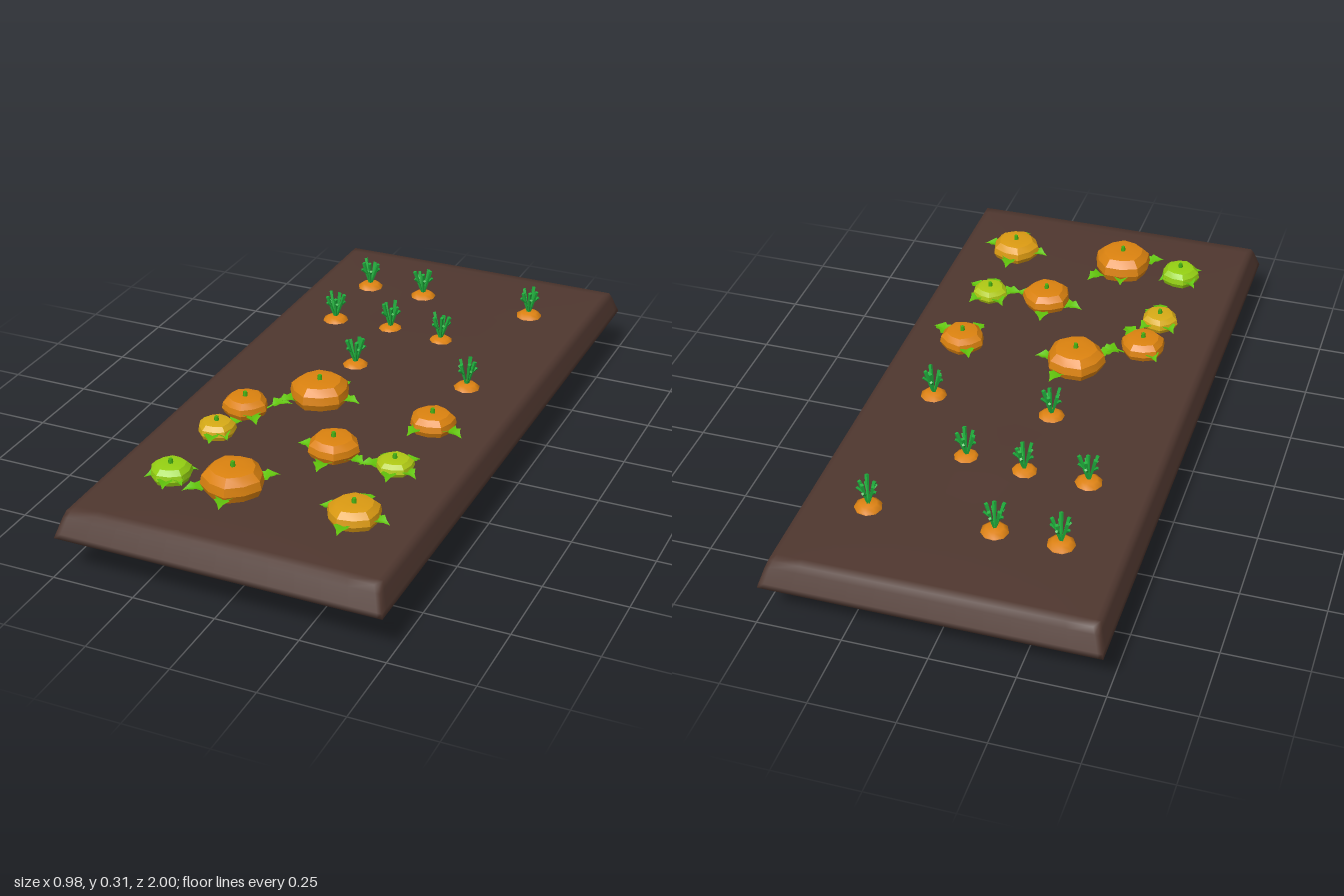
import * as THREE from 'three';
import { mergeVertices, mergeGeometries, toCreasedNormals } from 'three/addons/utils/BufferGeometryUtils.js';

const mat = (name, color, side = THREE.FrontSide) => {
  const m = new THREE.MeshStandardMaterial({ color, side });
  m.name = name;
  return m;
};
const soil = mat('soil brown', 0x4f372f);
const orange = mat('pumpkin orange', 0xdb820f);
const amber = mat('amber', 0xdb9a12);
const gold = mat('gold', 0xd6aa16);
const lime = mat('yellow lime', 0xafc814);
const green = mat('unripe green', 0x94cf12);
const carrotOrange = mat('carrot orange', 0xdd8212);
const leafGreen = mat('leaf green', 0x62c60c, THREE.DoubleSide);
const topGreen = mat('carrot top green', 0x1fae3c);
const stemGreen = mat('stem green', 0x45b012);

// gently domed height of the soil surface
const ground = (x, z) => {
  const edge = Math.max(0, (1 - (x / 0.465) ** 2) * (1 - (z / 0.97) ** 2));
  return 0.205 + 0.012 * Math.sqrt(edge) + 0.005 * Math.exp(-((z + 0.38) ** 2 + x * x) / 0.02);
};

function add(parent, name, geometry, material) {
  const mesh = new THREE.Mesh(geometry, material);
  mesh.name = name;
  parent.add(mesh);
  return mesh;
}

// bed of soil: box with sloped sides, a narrow rim and a domed top
function soilBed() {
  const nx = 14, nz = 26;
  const g = new THREE.BoxGeometry(2, 1, 2, nx, 3, nz);
  const p = g.attributes.position;
  // first and last grid lines sit close to the edge
  const spread = (t, n) => {
    const i = Math.round((t + 1) * n / 2);
    if (i === 0 || i === n) return Math.sign(t);
    return ((i - 1) / (n - 2) * 2 - 1) * 0.97;
  };
  const rows = [[0.13, 0], [0.143, 0.004], [0.188, 0.018], [0.205, 0.025]];
  for (let i = 0; i < p.count; i++) {
    const row = Math.round((p.getY(i) + 0.5) * 3);
    const [y, inset] = rows[row];
    const x = spread(p.getX(i), nx) * (0.488 - inset);
    const z = spread(p.getZ(i), nz) * (1 - inset * 1.4);
    p.setXYZ(i, x, row === 3 ? ground(x, z) : y, z);
  }
  g.deleteAttribute('uv');
  g.deleteAttribute('normal');
  const merged = mergeVertices(g, 1e-5);
  merged.computeVertexNormals();
  return merged;
}

// squat ribbed fruit of radius 1 and height 1
function fruitGeometry() {
  const profile = [[0, 0.02], [0.55, 0], [0.88, 0.17], [1, 0.42], [0.95, 0.7], [0.72, 0.93], [0.35, 1], [0, 0.94]]
    .map(([x, y]) => new THREE.Vector2(x, y));
  const g = new THREE.LatheGeometry(profile, 10);
  const p = g.attributes.position;
  for (let i = 0; i < p.count; i++) {
    const a = Math.atan2(p.getX(i), p.getZ(i));
    const k = 0.97 + 0.035 * Math.cos(a * 5);
    p.setXYZ(i, p.getX(i) * k, p.getY(i), p.getZ(i) * k);
  }
  g.deleteAttribute('uv');
  g.deleteAttribute('normal');
  return toCreasedNormals(mergeVertices(g, 1e-4), 0.55);
}

// jagged leaf along +z, length 1, folded up along its centre line
function leafGeometry() {
  const half = [[0.05, 0], [0.06, 0.3], [0.34, 0.36], [0.2, 0.55], [0.27, 0.66], [0.1, 0.82], [0, 1]];
  const outline = [...half, ...half.slice(0, -1).reverse().map(([x, z]) => [-x, z])];
  const pos = [], index = [];
  const put = (x, z) => pos.push(x, 0.26 * Math.sin(z * 2.4) + Math.abs(x) * 0.3, z);
  put(0, 0.5);
  outline.forEach(([x, z]) => put(x, z));
  outline.forEach((_, i) => index.push(0, (i + 1) % outline.length + 1, i + 1));
  const g = new THREE.BufferGeometry();
  g.setAttribute('position', new THREE.Float32BufferAttribute(pos, 3));
  g.setIndex(index);
  g.computeVertexNormals();
  return g;
}

// tapered root, from the tip (0) up to the shoulder (1)
function rootGeometry() {
  const profile = [[0, 0], [0.22, 0.015], [0.4, 0.1], [0.68, 0.32], [0.9, 0.58], [1, 0.86], [0.95, 0.94], [0.6, 0.99], [0, 1]]
    .map(([x, y]) => new THREE.Vector2(x, y));
  return new THREE.LatheGeometry(profile, 9);
}

// tuft of leaning stalks with short side shoots
function tuftGeometry() {
  const parts = [];
  const stick = (len, w, lean, turn, lift, out) => {
    const g = new THREE.CylinderGeometry(w, w * 0.5, len, 4);
    g.translate(0, len / 2, 0);
    g.rotateX(lean);
    g.translate(0, lift, out);
    g.rotateY(turn);
    parts.push(g);
  };
  for (let i = 0; i < 5; i++) {
    const turn = i * Math.PI * 0.4 + 0.3;
    const lean = 0.26 + 0.06 * (i % 2);
    stick(0.083 - 0.006 * (i % 3), 0.0065, lean, turn, 0, 0.003);
    stick(0.026, 0.005, 0.75, turn + 0.15, 0.035, 0.012);
  }
  return toCreasedNormals(mergeGeometries(parts), 0.4);
}

export function createModel() {
  const model = new THREE.Group();
  model.name = 'vegetablePatch';
  add(model, 'soilBed', soilBed(), soil);

  const fruit = fruitGeometry(), leaf = leafGeometry();
  const stem = new THREE.CylinderGeometry(0.006, 0.009, 0.022, 5);

  // x, z, radius, base, height, colour, then leaf tips as offsets in x and z
  const pumpkins = [
    [-0.09, 0.13, 0.092, 0.205, 0.087, orange, [[0.05, -0.12], [0.13, 0], [-0.1, 0.09]]],
    [0.28, 0.15, 0.07, 0.203, 0.066, orange, [[0.11, 0.05], [-0.05, -0.09], [-0.04, 0.1]]],
    [-0.265, 0.275, 0.07, 0.203, 0.066, orange, [[0.12, -0.07], [0.08, 0.09], [-0.06, -0.07]]],
    [-0.28, 0.43, 0.058, 0.205, 0.055, gold, [[0.06, 0.05], [0.02, 0.09], [-0.06, -0.06], [0.05, -0.07]]],
    [0.09, 0.425, 0.077, 0.218, 0.07, orange, [[-0.12, -0.01], [0, 0.12], [0.11, 0.03], [-0.01, -0.11]]],
    [0.278, 0.425, 0.057, 0.213, 0.047, lime, [[0.08, 0.04], [-0.1, 0.03], [0.01, 0.09], [-0.06, -0.06], [0.05, -0.07]]],
    [-0.28, 0.705, 0.062, 0.203, 0.06, green, [[-0.06, -0.06], [0.06, -0.05], [0.02, 0.09], [0.06, 0.05], [-0.06, 0.05]]],
    [-0.088, 0.7, 0.092, 0.203, 0.093, orange, [[-0.12, 0.08], [0.02, 0.13], [0.09, -0.11], [-0.02, -0.11]]],
    [0.278, 0.705, 0.078, 0.201, 0.069, amber, [[-0.11, -0.01], [0.11, 0.01], [0, 0.115], [0, -0.12]]],
  ];
  for (const [x, z, r, y, h, colour, tips] of pumpkins) {
    const plant = new THREE.Group();
    plant.name = 'pumpkinPlant';
    plant.position.set(x, y, z);
    const body = add(plant, 'pumpkin', fruit, colour);
    body.scale.set(r, h, r);
    body.rotation.y = x * 9 + z * 5;
    add(plant, 'pumpkinStem', stem, stemGreen).position.y = h;
    for (const [dx, dz] of tips) {
      const length = Math.hypot(dx, dz), size = 0.085;
      const blade = add(plant, 'pumpkinLeaf', leaf, leafGreen);
      const start = (length - size) / length;
      blade.position.set(dx * start, ground(x, z) - y, dz * start);
      blade.rotation.y = Math.atan2(dx, dz);
      blade.scale.setScalar(size);
    }
    model.add(plant);
  }

  const root = rootGeometry(), tuft = tuftGeometry();
  // x, z, height of the root tip
  const carrots = [
    [-0.28, -0.68, 0.02], [-0.09, -0.68, 0.022], [0.28, -0.68, 0.022],
    [-0.28, -0.4, 0.02], [-0.09, -0.405, 0.02], [0.088, -0.39, 0.014],
    [-0.09, -0.13, 0.02], [0.278, -0.13, 0],
  ];
  carrots.forEach(([x, z, tip], i) => {
    const plant = new THREE.Group();
    plant.name = 'carrotPlant';
    plant.position.set(x, tip, z);
    plant.rotation.y = i * 1.3;
    const top = 0.229 - tip;
    add(plant, 'carrotRoot', root, carrotOrange).scale.set(0.042, top, 0.042);
    add(plant, 'carrotTop', tuft, topGreen).position.y = top - 0.003;
    model.add(plant);
  });
  return model;
}
